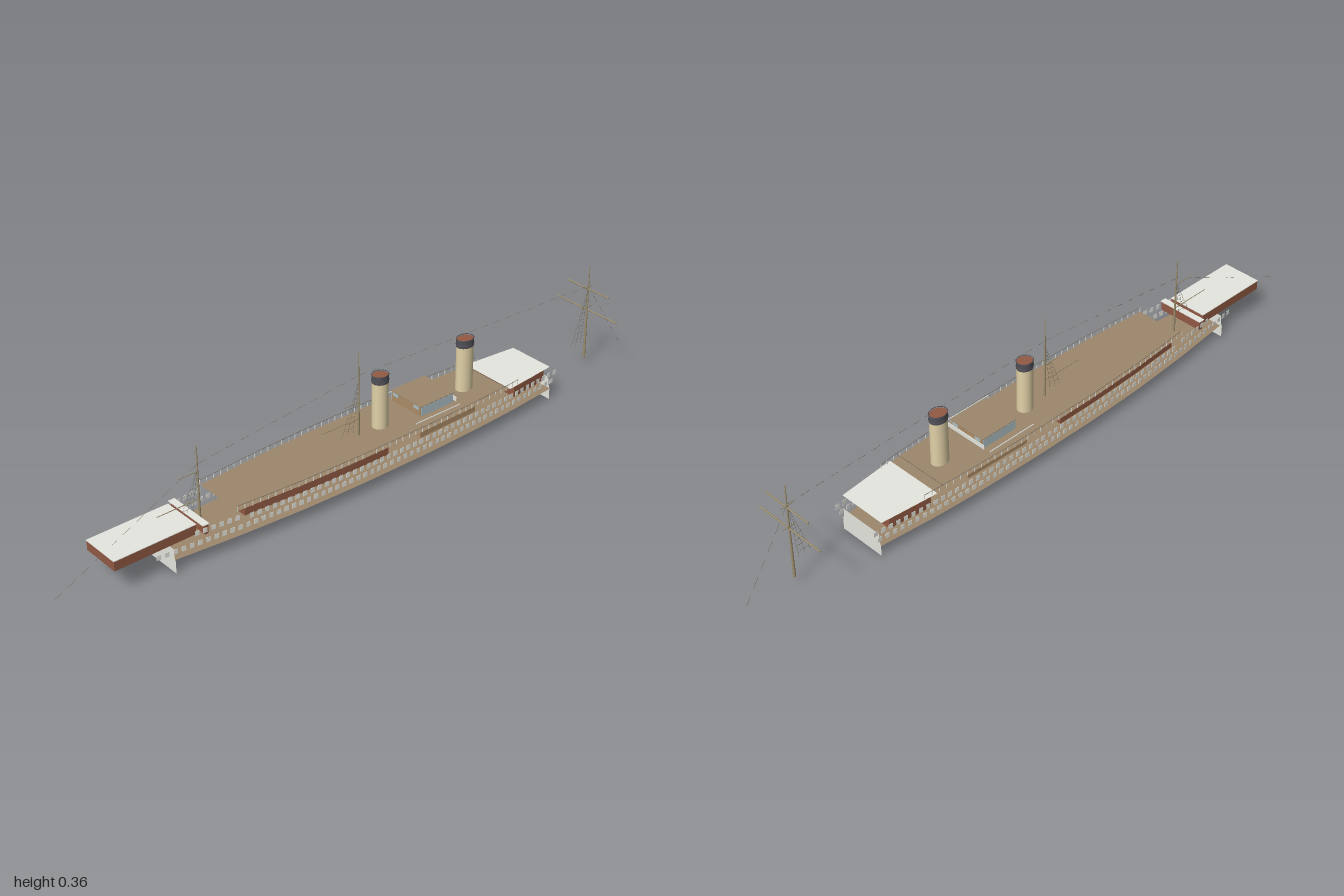
import * as THREE from 'three';

const mat = (name, color, side = THREE.FrontSide) => {
  const m = new THREE.MeshStandardMaterial({ color, side });
  m.name = name;
  return m;
};

// half-width of the hull along its length: [x, z]
const PLAN = [[-0.69, 0.066], [-0.5, 0.086], [-0.3, 0.1], [-0.12, 0.106], [0.12, 0.106],
  [0.3, 0.101], [0.45, 0.093], [0.63, 0.076]];
function halfWidth(x) {
  if (x <= PLAN[0][0]) return PLAN[0][1] + (x - PLAN[0][0]) * 0.11;
  for (let i = 1; i < PLAN.length; i++) {
    const [a, za] = PLAN[i - 1], [b, zb] = PLAN[i];
    if (x <= b) return za + ((zb - za) * (x - a)) / (b - a);
  }
  return PLAN[PLAN.length - 1][1];
}

export function createModel() {
  const ship = new THREE.Group();
  ship.name = 'steamship';
  const wood = mat('deckWood', 0x9d876c, THREE.DoubleSide);
  const red = mat('redBrownWall', 0x925a43, THREE.DoubleSide);
  const grey = mat('paleGrey', 0xe9e9e2, THREE.DoubleSide);
  const tan = mat('funnelBuff', 0xe2d2a8);
  const cabin = mat('cabinWood', 0xae8e68, THREE.DoubleSide);
  const dark = mat('darkGrey', 0x505058);
  const glass = mat('windowGlass', 0xb0c2c6);
  const spar = mat('sparBuff', 0x9c8e6e);
  const wire = mat('rigging', 0x7a7466);

  const add = (name, geo, m, x = 0, y = 0, z = 0, parent = ship) => {
    const mesh = new THREE.Mesh(geo, m);
    mesh.name = name;
    mesh.position.set(x, y, z);
    parent.add(mesh);
    return mesh;
  };
  const box = (name, w, h, d, m, x, y, z, p) => add(name, new THREE.BoxGeometry(w, h, d), m, x, y, z, p);
  const rod = (name, a, b, r0, r1, m, sides = 6, p = ship) => {
    const A = new THREE.Vector3(...a), B = new THREE.Vector3(...b), dir = B.clone().sub(A);
    const mesh = add(name, new THREE.CylinderGeometry(r1, r0, dir.length(), sides), m, 0, 0, 0, p);
    mesh.position.copy(A).add(B).multiplyScalar(0.5);
    mesh.quaternion.setFromUnitVectors(new THREE.Vector3(0, 1, 0), dir.normalize());
  };

  // flat deck that follows the hull plan
  function deck(name, x0, x1, inset, y, m) {
    const pts = [], n = 24;
    for (let i = 0; i <= n; i++) {
      const x = x0 + ((x1 - x0) * i) / n;
      pts.push(new THREE.Vector2(x, halfWidth(x) - inset));
    }
    const all = pts.concat(pts.map((p) => new THREE.Vector2(p.x, -p.y)).reverse());
    const geo = new THREE.ShapeGeometry(new THREE.Shape(all));
    geo.rotateX(-Math.PI / 2);
    add(name, geo, m, 0, y, 0);
  }
  // closed wall running round under a deck
  function wall(name, x0, x1, inset, y0, y1, m) {
    const pos = [], idx = [], ring = [], n = 16;
    for (let i = 0; i <= n; i++) {
      const x = x0 + ((x1 - x0) * i) / n;
      ring.push([x, halfWidth(x) - inset]);
    }
    const loop = ring.concat(ring.map(([x, z]) => [x, -z]).reverse());
    loop.forEach(([x, z], i) => {
      const [u, w] = loop[(i + 1) % loop.length], k = i * 4;
      pos.push(x, y0, z, u, y0, w, u, y1, w, x, y1, z);
      idx.push(k, k + 1, k + 2, k, k + 2, k + 3);
    });
    const geo = new THREE.BufferGeometry();
    geo.setAttribute('position', new THREE.Float32BufferAttribute(pos, 3));
    geo.setIndex(idx);
    geo.computeVertexNormals();
    add(name, geo, m);
  }

  // lower deck and the end plates
  deck('lowerDeck', -0.69, 0.63, 0, 0.036, wood);
  for (const [x, name] of [[-0.69, 'bowPlate'], [0.63, 'sternPlate']]) {
    const s = new THREE.Shape([[-0.073, 0], [0.073, 0], [0.073, 0.036], [0.068, 0.048],
      [0.068, 0.071], [-0.068, 0.071], [-0.068, 0.048], [-0.073, 0.036]].map((p) => new THREE.Vector2(...p)));
    const g = new THREE.ShapeGeometry(s);
    g.rotateY(Math.PI / 2);
    add(name, g, grey, x, 0, 0);
  }

  // long deckhouse under the boat deck
  wall('forwardHouseWall', -0.47, 0, 0.018, 0.076, 0.107, red);
  wall('aftHouseWall', 0.12, 0.33, 0.024, 0.076, 0.107, cabin);
  deck('boatDeck', -0.5, 0.45, 0.006, 0.108, wood);

  // forecastle: open-bottomed walls with a pale top
  const fore = new THREE.Group();
  fore.name = 'forecastle';
  ship.add(fore);
  for (const s of [-1, 1]) {
    box('forecastleSide', 0.245, 0.028, 0.002, red, -0.7375, 0.093, s * 0.059, fore);
    box('forecastleEnd', 0.002, 0.028, 0.118, red, -0.7375 + s * 0.1215, 0.093, 0, fore);
  }
  box('forecastleTop', 0.247, 0.002, 0.122, grey, -0.7375, 0.108, 0, fore);
  box('breakwater', 0.012, 0.028, 0.145, red, -0.592, 0.09, 0);
  box('breakwaterTop', 0.02, 0.002, 0.15, grey, -0.594, 0.105, 0);

  // poop
  wall('poopWall', 0.47, 0.6, 0.004, 0.074, 0.106, red);
  deck('poopTop', 0.45, 0.625, 0.002, 0.109, grey);

  // deck cabin with windows and a pale screen across its after end
  box('cabin', 0.12, 0.03, 0.118, cabin, 0.2, 0.14, 0);
  box('cabinRoof', 0.125, 0.002, 0.122, wood, 0.2, 0.156, 0);
  box('cabinScreen', 0.002, 0.013, 0.138, grey, 0.264, 0.137, 0);
  for (const s of [-1, 1]) {
    box('cabinSideWindow', 0.118, 0.028, 0.002, glass, 0.2, 0.1405, s * 0.06);
    for (const e of [-1, 1]) box('cabinEndWindow', 0.002, 0.011, 0.02, glass, 0.2 + e * 0.061, 0.149, s * 0.042);
    box('deckScreen', 0.16, 0.003, 0.002, grey, 0.18, 0.131, s * 0.087);
  }

  // rows of thin ports along both sides
  const ports = new THREE.Group();
  ports.name = 'ports';
  ship.add(ports);
  const pane = new THREE.BoxGeometry(0.0125, 0.014, 0.001);
  function portRow(x0, x1, y) {
    for (let x = x0; x <= x1; x += 0.0235) {
      const slope = (halfWidth(x + 0.01) - halfWidth(x - 0.01)) / 0.02;
      for (const s of [-1, 1]) {
        add('port', pane, grey, x, y, s * (halfWidth(x) - 0.002), ports).rotation.y = -s * Math.atan(slope);
      }
    }
  }
  portRow(-0.73, 0.645, 0.059);
  portRow(-0.62, -0.48, 0.09);
  portRow(-0.46, 0.645, 0.083);

  // boat deck railing: posts and a handrail following the hull
  const railing = new THREE.Group();
  railing.name = 'railing';
  ship.add(railing);
  const post = new THREE.BoxGeometry(0.002, 0.015, 0.0015);
  for (const s of [-1, 1]) {
    const line = [];
    for (let x = -0.5; x <= 0.495; x += 0.0235) {
      const z = s * (halfWidth(x) - 0.006);
      add('railPost', post, grey, x, 0.1145, z, railing);
      line.push(new THREE.Vector3(x, 0.122, z));
    }
    add('handrail', new THREE.TubeGeometry(new THREE.CatmullRomCurve3(line), 60, 0.001, 4), wire, 0, 0, 0, railing);
  }
  rod('endRail', [0.43, 0.123, -0.088], [0.43, 0.123, 0.088], 0.001, 0.001, wire, 4, railing);

  // funnels: buff tube, dark cap, rim bands and red lining
  for (const [x, stretch] of [[0.046, 1.12], [0.357, 1.25]]) {
    const f = new THREE.Group();
    f.name = 'funnel';
    f.position.x = x;
    f.scale.x = stretch;
    ship.add(f);
    const tube = (n, y0, y1, r, m) =>
      add(n, new THREE.CylinderGeometry(r, r, y1 - y0, 24, 1, true), m, 0, (y0 + y1) / 2, 0, f);
    tube('funnelTube', 0.1, 0.245, 0.0215, tan);
    tube('funnelCap', 0.245, 0.27, 0.0218, dark);
    for (const y of [0.252, 0.268]) {
      const t = add('funnelRim', new THREE.TorusGeometry(0.0218, 0.001, 6, 24), dark, 0, y, 0, f);
      t.rotation.x = Math.PI / 2;
    }
    const lid = add('funnelLining', new THREE.CircleGeometry(0.0215, 24), red, 0, 0.265, 0, f);
    lid.rotation.x = -Math.PI / 2;
  }

  // masts, each with a tapering pole and a net of shrouds: [name, x, top, shroud head, shroud foot]
  const masts = [['foreMast', -0.56, 0.29, 0.22, 0.1], ['mainMast', -0.03, 0.36, 0.275, 0.12],
    ['aftMast', 0.85, 0.325, 0.26, 0.08]];
  for (const [name, x, top, head, foot] of masts) {
    const g = new THREE.Group();
    g.name = name;
    ship.add(g);
    rod('pole', [x, 0.028, 0], [x, top, 0], 0.004, 0.0015, spar, 12, g);
    for (const dx of [0.02, 0.04, 0.058]) {
      rod('shroud', [x, head, 0], [x - dx, foot, 0], 0.0004, 0.0004, wire, 3, g);
    }
    for (let i = 1; i < 9; i++) {
      const t = i / 9, y = head + (foot - head) * t;
      rod('ratline', [x - 0.058 * t, y, 0], [x - 0.02 * t, y, 0], 0.0004, 0.0004, wire, 3, g);
    }
  }
  // booms fore and aft
  for (const [x0, x1, y] of [[-0.69, -0.56, 0.131], [-0.62, -0.56, 0.213], [-0.16, -0.03, 0.16], [-0.08, -0.03, 0.21]]) {
    rod('boom', [x0, y, 0], [x1, y, 0], 0.001, 0.0014, spar);
  }
  // yards across the aft mast
  for (const [y, half] of [[0.255, 0.08], [0.188, 0.116]]) {
    rod('yard', [0.85, y, -half], [0.85, y, half], 0.0022, 0.0022, spar, 12);
    rod('crossTree', [0.83, y + 0.006, 0], [0.87, y + 0.006, 0], 0.0013, 0.0013, spar, 5);
  }

  // stays from end to end over the mast heads, in short lengths
  const stay = [[-1, 0.025], [-0.56, 0.235], [-0.03, 0.292], [0.85, 0.265], [1, 0.03]];
  for (let i = 1; i < stay.length; i++) {
    const [ax, ay] = stay[i - 1], [bx, by] = stay[i];
    const n = Math.round(Math.hypot(bx - ax, by - ay) / 0.045);
    for (let k = 0; k < n; k++) {
      const t = k / (n - 0.4), u = (k + 0.6) / (n - 0.4);
      rod('stay', [ax + (bx - ax) * t, ay + (by - ay) * t, 0],
        [ax + (bx - ax) * u, ay + (by - ay) * u, 0], 0.0005, 0.0005, wire, 3);
    }
  }
  return ship;
}
